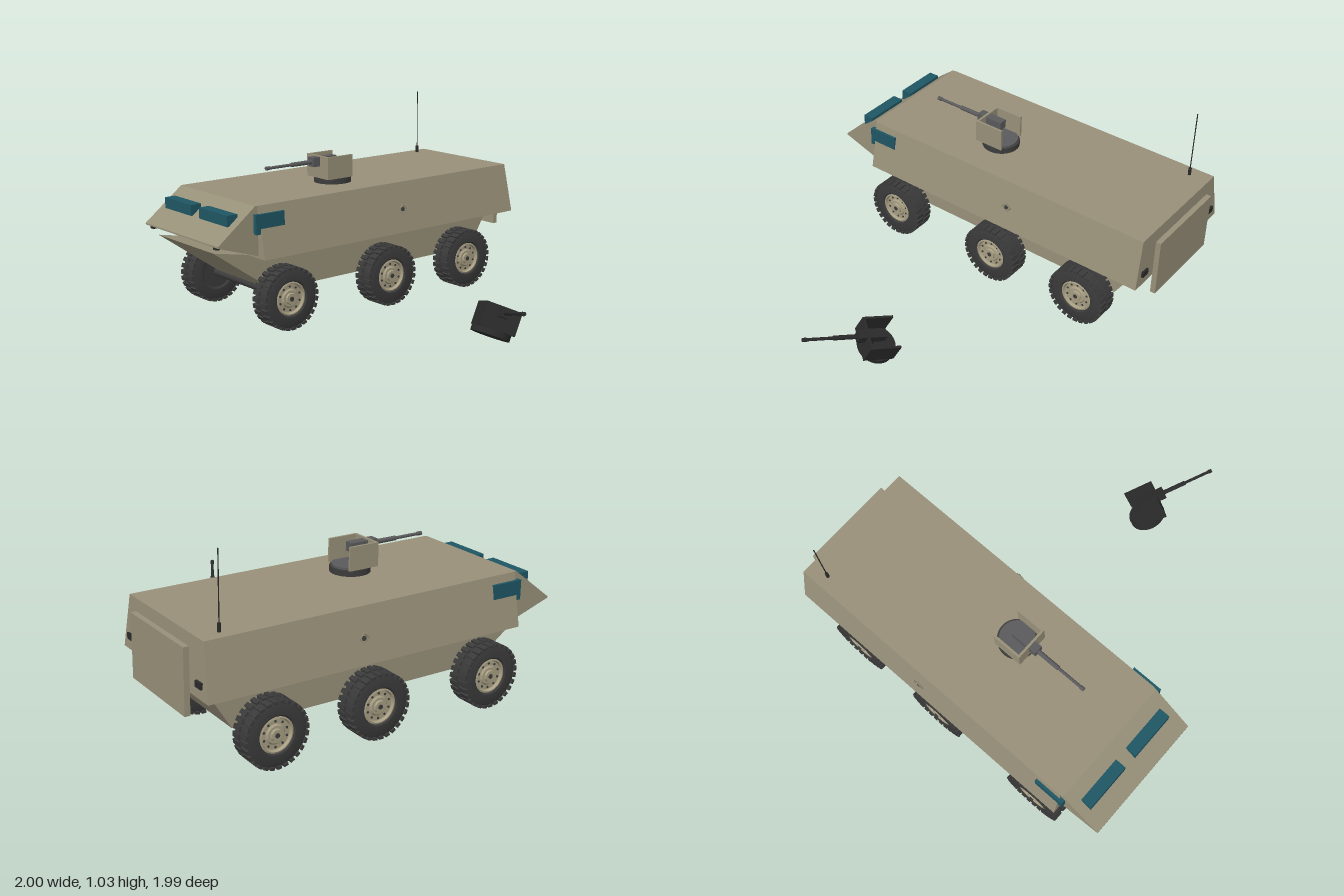
import * as THREE from 'three';
import { toCreasedNormals } from 'three/addons/utils/BufferGeometryUtils.js';

const mat = (name, color) => new THREE.MeshStandardMaterial({ name, color });

export function createModel() {
  const M = {
    hull: mat('hull tan', 0x989079),
    rim: mat('rim tan', 0xa69d82),
    glass: mat('window teal', 0x1f5664),
    tyre: mat('tyre rubber', 0x3a3a3a),
    steel: mat('gun grey', 0x5a5a5c),
    dark: mat('dark metal', 0x3c3c3c),
    black: mat('black', 0x2a2a2a),
  };
  const model = new THREE.Group();
  const car = new THREE.Group();
  car.name = 'vehicle';
  car.position.x = -0.6;
  model.add(car);

  const add = (parent, name, geo, material, x = 0, y = 0, z = 0) => {
    const m = new THREE.Mesh(geo, material);
    m.name = name;
    m.position.set(x, y, z);
    parent.add(m);
    return m;
  };
  const box = (w, h, d) => new THREE.BoxGeometry(w, h, d);
  const rod = (r, len, axis, n = 16) => {
    const g = new THREE.CylinderGeometry(r, r, len, n);
    if (axis === 'x') g.rotateZ(-Math.PI / 2);
    if (axis === 'z') g.rotateX(Math.PI / 2);
    return g;
  };
  // Extrudes a side profile of [z, y] points across the width
  const sideProfile = (pts, width) => {
    const shape = new THREE.Shape(pts.map(p => new THREE.Vector2(...p)));
    return new THREE.ExtrudeGeometry(shape, { depth: width, bevelEnabled: false })
      .rotateY(-Math.PI / 2).translate(width / 2, 0, 0);
  };

  // Upper hull: a box whose sides and rear lean inwards towards the roof
  const hull = box(2, 1, 2).toNonIndexed();
  const p = hull.attributes.position;
  for (let i = 0; i < p.count; i++) {
    const top = p.getY(i) > 0;
    const front = p.getZ(i) > 0;
    p.setXYZ(i, p.getX(i) * (top ? 0.348 : 0.4), top ? 0.66 : 0.393,
      front ? 0.762 : (top ? -0.95 : -0.962));
  }
  hull.computeVertexNormals();
  add(car, 'upperHull', hull, M.hull);
  add(car, 'nose', sideProfile([[0.762, 0.405], [0.995, 0.481], [0.995, 0.489],
    [0.775, 0.66], [0.762, 0.66]], 0.69), M.hull);
  add(car, 'lowerHull', sideProfile([[0.62, 0.185], [0.97, 0.437], [0.755, 0.394],
    [-0.9, 0.394], [-0.77, 0.185]], 0.52), M.hull);
  add(car, 'rearDoor', box(0.5, 0.32, 0.028), M.hull, 0, 0.45, -0.981);

  // Paired fittings
  for (const s of [-1, 1]) {
    add(car, 'frontWindow', box(0.255, 0.057, 0.06), M.glass, s * 0.165, 0.593, 0.875);
    add(car, 'sideWindow', box(0.024, 0.1, 0.17), M.glass, s * 0.358, 0.57, 0.703);
    add(car, 'tailLight', box(0.05, 0.03, 0.016), M.black, s * 0.325, 0.46, -0.962);
    add(car, 'headlight', box(0.03, 0.014, 0.02), M.black, s * 0.3, 0.472, 0.975);
    const port = add(car, 'firingPort', new THREE.TorusGeometry(0.026, 0.006, 4, 4),
      M.hull, s * 0.377, 0.515, -0.15);
    port.rotation.y = s * Math.PI / 2;
    const plug = add(car, 'firingPortPlug', rod(0.012, 0.014, 'x', 6), M.dark, s * 0.374, 0.515, -0.15);
    plug.rotation.z = s * 0.19;
  }

  // Antenna
  add(car, 'antennaBase', rod(0.009, 0.04, 'y', 8), M.black, -0.285, 0.68, -0.84);
  add(car, 'antennaWhip', rod(0.003, 0.34, 'y', 6), M.black, -0.285, 0.86, -0.84);

  // Wheel parts, with the outer face towards +x
  const lathe = pts => toCreasedNormals(new THREE.LatheGeometry(
    pts.map(q => new THREE.Vector2(...q)), 40).rotateZ(-Math.PI / 2), 0.5);
  const tyreGeo = lathe([[0, -0.045], [0.085, -0.045], [0.095, -0.053], [0.14, -0.053], [0.156, -0.045],
    [0.156, -0.006], [0.149, -0.003], [0.149, 0.003], [0.156, 0.006],
    [0.156, 0.045], [0.14, 0.053], [0.095, 0.053], [0.087, 0.045]]);
  const rimGeo = lathe([[0.088, 0.046], [0.08, 0.049], [0.074, 0.034], [0.05, 0.034],
    [0.042, 0.042], [0.03, 0.042], [0.027, 0.052], [0, 0.052]]);
  const lugGeo = box(0.05, 0.014, 0.023);
  const boltGeo = rod(0.006, 0.01, 'x', 6);
  const makeWheel = () => {
    const wheel = new THREE.Group();
    wheel.name = 'wheel';
    add(wheel, 'tyre', tyreGeo, M.tyre);
    add(wheel, 'rim', rimGeo, M.rim);
    const lugs = 28;
    for (let i = 0; i < lugs; i++) {
      for (const s of [-1, 1]) {
        const a = (i + s * 0.25) / lugs * Math.PI * 2;
        const lug = add(wheel, 'treadLug', lugGeo, M.tyre,
          s * 0.032, Math.cos(a) * 0.157, Math.sin(a) * 0.157);
        lug.rotation.x = a;
      }
    }
    for (let i = 0; i < 10; i++) {
      const a = i / 10 * Math.PI * 2;
      add(wheel, 'wheelBolt', boltGeo, M.dark, 0.033, Math.cos(a) * 0.062, Math.sin(a) * 0.062);
    }
    add(wheel, 'hubCap', rod(0.012, 0.012, 'x', 10), M.dark, 0.05, 0, 0);
    return wheel;
  };
  for (const z of [0.603, -0.06, -0.618]) {
    add(car, 'axle', rod(0.021, 0.6, 'x'), M.dark, 0, 0.165, z);
    for (const s of [-1, 1]) {
      const wheel = makeWheel();
      wheel.position.set(s * 0.342, 0.165, z);
      if (s < 0) wheel.rotation.y = Math.PI;
      car.add(wheel);
    }
  }

  // Gun turret standing on its local y = 0, gun towards +z
  const makeTurret = (name, ring, plate, gun) => {
    const t = new THREE.Group();
    t.name = name;
    add(t, 'turretRing', rod(0.1, 0.03, 'y', 32), ring, 0, 0.015, 0);
    add(t, 'turretFloor', rod(0.09, 0.012, 'y', 32), gun, 0, 0.034, 0);
    add(t, 'frontShield', box(0.184, 0.12, 0.012), plate, 0, 0.09, 0.094);
    for (const s of [-1, 1])
      add(t, 'sideShield', box(0.012, 0.12, 0.165), plate, s * 0.086, 0.09, 0.0175);
    add(t, 'gunPost', box(0.02, 0.07, 0.03), gun, 0, 0.07, 0.05);
    add(t, 'gunBody', box(0.046, 0.046, 0.1), gun, 0, 0.12, 0.04);
    add(t, 'gunMantlet', box(0.048, 0.05, 0.045), gun, 0, 0.12, 0.12);
    add(t, 'barrelSleeve', rod(0.012, 0.14, 'z', 12), gun, 0, 0.12, 0.2);
    add(t, 'barrel', rod(0.008, 0.15, 'z', 12), gun, 0, 0.12, 0.34);
    add(t, 'muzzle', rod(0.0105, 0.022, 'z', 12), gun, 0, 0.12, 0.42);
    return t;
  };
  const turret = makeTurret('turret', M.dark, M.hull, M.steel);
  turret.position.set(0.09, 0.66, 0.1);
  car.add(turret);

  // Wrecked turret lying tilted beside the vehicle
  const wreck = makeTurret('wreckedTurret', M.black, M.black, M.black);
  const aim = new THREE.Vector3(0.845, 0.275, 0.46).normalize();
  const side = new THREE.Vector3(-0.04, 0.87, -0.46).cross(aim).normalize();
  const up = aim.clone().cross(side);
  wreck.quaternion.setFromRotationMatrix(new THREE.Matrix4().makeBasis(side, up, aim));
  wreck.position.set(0.632, 0.055, 0.032);
  model.add(wreck);

  return model;
}
